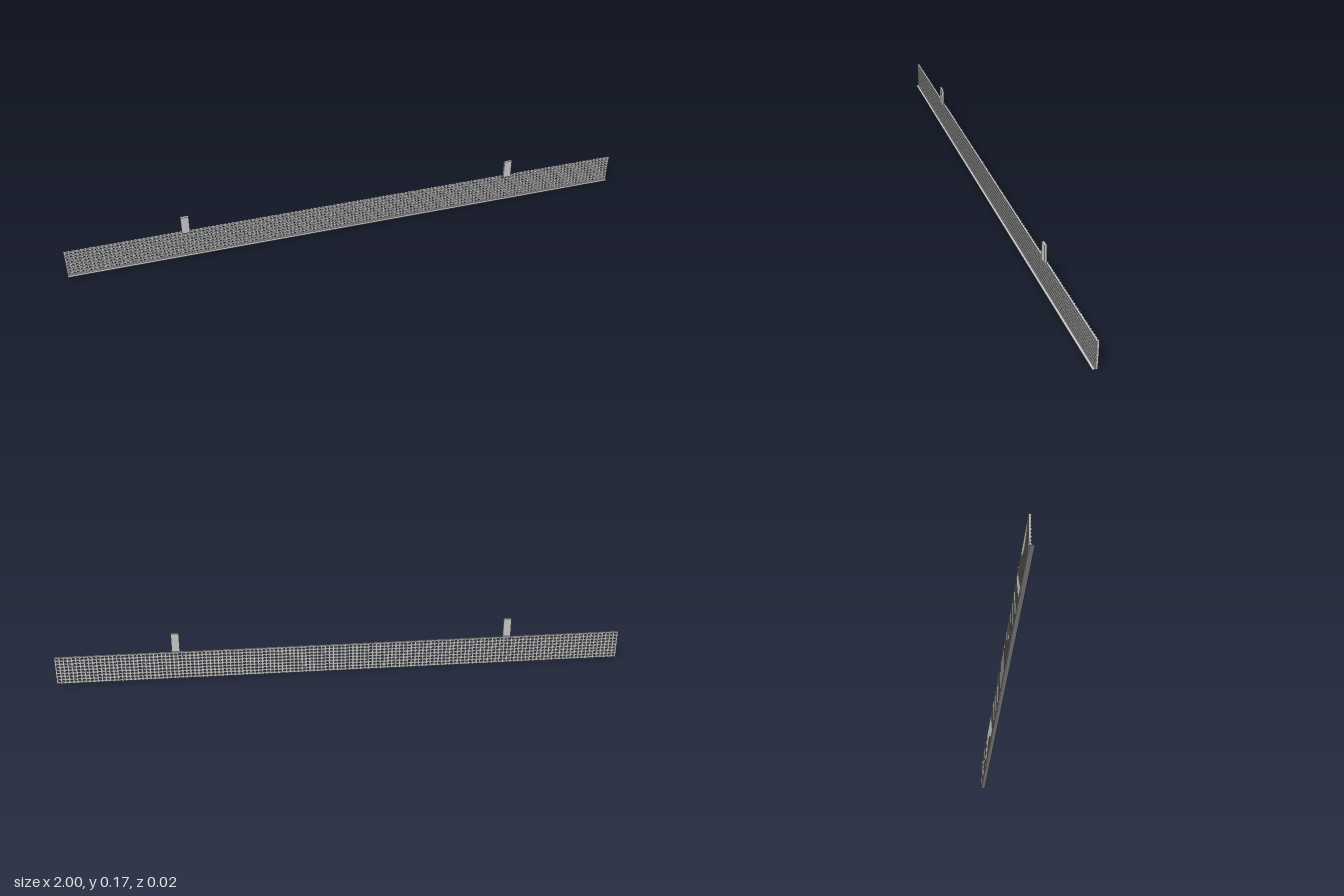
import * as THREE from 'three';

const material = new THREE.MeshStandardMaterial({ color: 0xcccccc, flatShading: true });

// Box given by its low and high corners
function bar(name, [x0, y0, z0], [x1, y1, z1]) {
  const mesh = new THREE.Mesh(new THREE.BoxGeometry(x1 - x0, y1 - y0, z1 - z0), material);
  mesh.position.set((x0 + x1) / 2, (y0 + y1) / 2, (z0 + z1) / 2);
  mesh.name = name;
  return mesh;
}

export function createModel() {
  const model = new THREE.Group();
  model.name = 'latticePanel';
  const height = 0.1, depth = 0.0085;

  // Long horizontal bars, towards the front
  const rails = new THREE.Group();
  rails.name = 'horizontalBars';
  const rows = 9, railHeight = 0.006;
  for (let i = 0; i < rows; i++) {
    const y = (i * (height - railHeight)) / (rows - 1);
    rails.add(bar('horizontalBar', [-1, y, -0.006], [1, y + railHeight, 0]));
  }

  // Closely spaced upright bars, towards the back
  const uprights = new THREE.Group();
  uprights.name = 'verticalBars';
  const columns = 144, barWidth = 0.006;
  for (let i = 0; i < columns; i++) {
    const x = -1 + (i * (2 - barWidth)) / (columns - 1);
    uprights.add(bar('verticalBar', [x, 0, -depth], [x + barWidth, height, -0.002]));
  }
  model.add(rails, uprights);

  // Thin lip along the bottom of the front
  model.add(bar('bottomLip', [-1, 0, 0], [1, 0.001, depth]));

  // Two flat mounting tabs above the panel
  for (const x of [-0.59, 0.585]) {
    model.add(bar('mountingTab', [x - 0.014, height, 0], [x + 0.014, 0.167, depth]));
  }
  return model;
}
